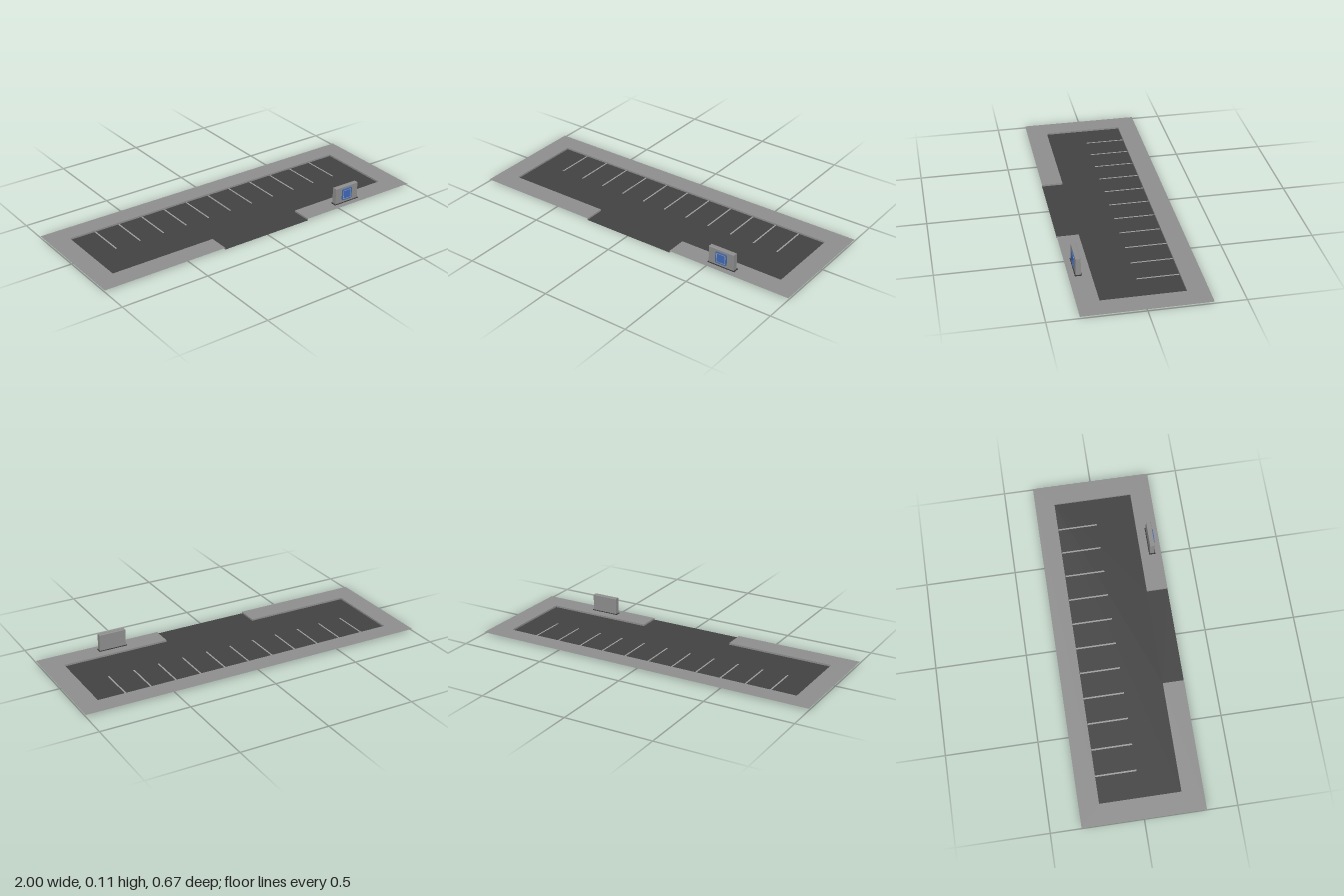
import * as THREE from 'three';

const mat = (name, color, side = THREE.FrontSide) => {
  const m = new THREE.MeshStandardMaterial({ color, side });
  m.name = name;
  return m;
};

// Rectangle with rounded corners, centred on (cx, cy)
function roundedRect(Type, cx, cy, w, h, r) {
  const s = new Type(), x = cx - w / 2, y = cy - h / 2;
  s.moveTo(x + r, y);
  s.lineTo(x + w - r, y).quadraticCurveTo(x + w, y, x + w, y + r);
  s.lineTo(x + w, y + h - r).quadraticCurveTo(x + w, y + h, x + w - r, y + h);
  s.lineTo(x + r, y + h).quadraticCurveTo(x, y + h, x, y + h - r);
  s.lineTo(x, y + r).quadraticCurveTo(x, y, x + r, y);
  return s;
}

export function createModel() {
  const group = new THREE.Group();
  const concrete = mat('concrete', 0x8e8e8e, THREE.DoubleSide);
  const asphalt = mat('asphalt', 0x424242, THREE.DoubleSide);
  const paint = mat('line paint', 0x9c9c9c, THREE.DoubleSide);
  const dark = mat('dark plinth', 0x363636);
  const blue = mat('sign blue', 0x3d69b8);

  const add = (name, geometry, material, parent = group) => {
    const mesh = new THREE.Mesh(geometry, material);
    mesh.name = name;
    parent.add(mesh);
    return mesh;
  };

  // Sunken lot outline (x, z), open at the front for the driveway
  const H = 0.01, front = 0.334;
  const lot = [
    [0.275, front], [0.275, 0.217], [0.885, 0.217], [0.885, -0.224],
    [-0.885, -0.224], [-0.885, 0.217], [-0.275, 0.217], [-0.275, front],
  ];
  const flat = (points, y) => {
    const shape = new THREE.Shape(points.map(([x, z]) => new THREE.Vector2(x, -z)));
    return new THREE.ShapeGeometry(shape).rotateX(-Math.PI / 2).translate(0, y, 0);
  };
  add('asphalt', flat(lot, 0), asphalt);

  // Thin pavement sheet surrounding the lot
  add('pavement', flat([...lot, [-1, front], [-1, -front], [1, -front], [1, front]], H), concrete);

  // Kerb faces between pavement and asphalt
  const kerb = new THREE.Group();
  kerb.name = 'kerb';
  group.add(kerb);
  for (let i = 0; i < lot.length - 1; i++) {
    const [ax, az] = lot[i], [bx, bz] = lot[i + 1];
    const face = add('kerbFace', new THREE.PlaneGeometry(Math.hypot(bx - ax, bz - az), H), concrete, kerb);
    face.position.set((ax + bx) / 2, H / 2, (az + bz) / 2);
    face.rotation.y = Math.atan2(bz - az, ax - bx);
  }

  // Parking bay lines
  const lines = new THREE.Group();
  lines.name = 'bayLines';
  group.add(lines);
  for (let i = 0; i < 11; i++) {
    const line = add('bayLine', new THREE.PlaneGeometry(0.009, 0.222).rotateX(-Math.PI / 2), paint, lines);
    line.position.set(-0.004 + (i - 5) * 0.1458, 0.0015, -0.112);
  }

  // Sign: hollow plinth, slab and blue panel
  const sign = new THREE.Group();
  sign.name = 'sign';
  sign.position.set(0.575, 0, 0.283);
  group.add(sign);

  const ring = roundedRect(THREE.Shape, 0, 0, 0.166, 0.036, 0.001);
  ring.holes.push(roundedRect(THREE.Path, 0, 0, 0.148, 0.022, 0.001));
  add('signPlinth', new THREE.ExtrudeGeometry(ring, { depth: 0.008, bevelEnabled: false })
    .rotateX(-Math.PI / 2).translate(0, 0.005, 0), dark, sign);

  // Slab profile in z-y with softened top edges, extruded along x
  const profile = new THREE.Shape();
  profile.moveTo(-0.0135, 0.0105).lineTo(0.0135, 0.0105).lineTo(0.0135, 0.103);
  profile.quadraticCurveTo(0.0135, 0.107, 0.0095, 0.107).lineTo(-0.0095, 0.107);
  profile.quadraticCurveTo(-0.0135, 0.107, -0.0135, 0.103);
  add('signSlab', new THREE.ExtrudeGeometry(profile, { depth: 0.154, bevelEnabled: false })
    .translate(0, 0, -0.077).rotateY(Math.PI / 2), concrete, sign);

  const panel = roundedRect(THREE.Shape, 0, 0.0595, 0.068, 0.066, 0.008);
  add('signPanel', new THREE.ExtrudeGeometry(panel, { depth: 0.005, bevelEnabled: false })
    .translate(0, 0, 0.0135), blue, sign);

  // Pale border line on the panel
  const border = roundedRect(THREE.Shape, 0, 0.0595, 0.056, 0.054, 0.005);
  border.holes.push(roundedRect(THREE.Path, 0, 0.0595, 0.048, 0.046, 0.004));
  add('signBorder', new THREE.ShapeGeometry(border).translate(0, 0, 0.0192), paint, sign);

  return group;
}
